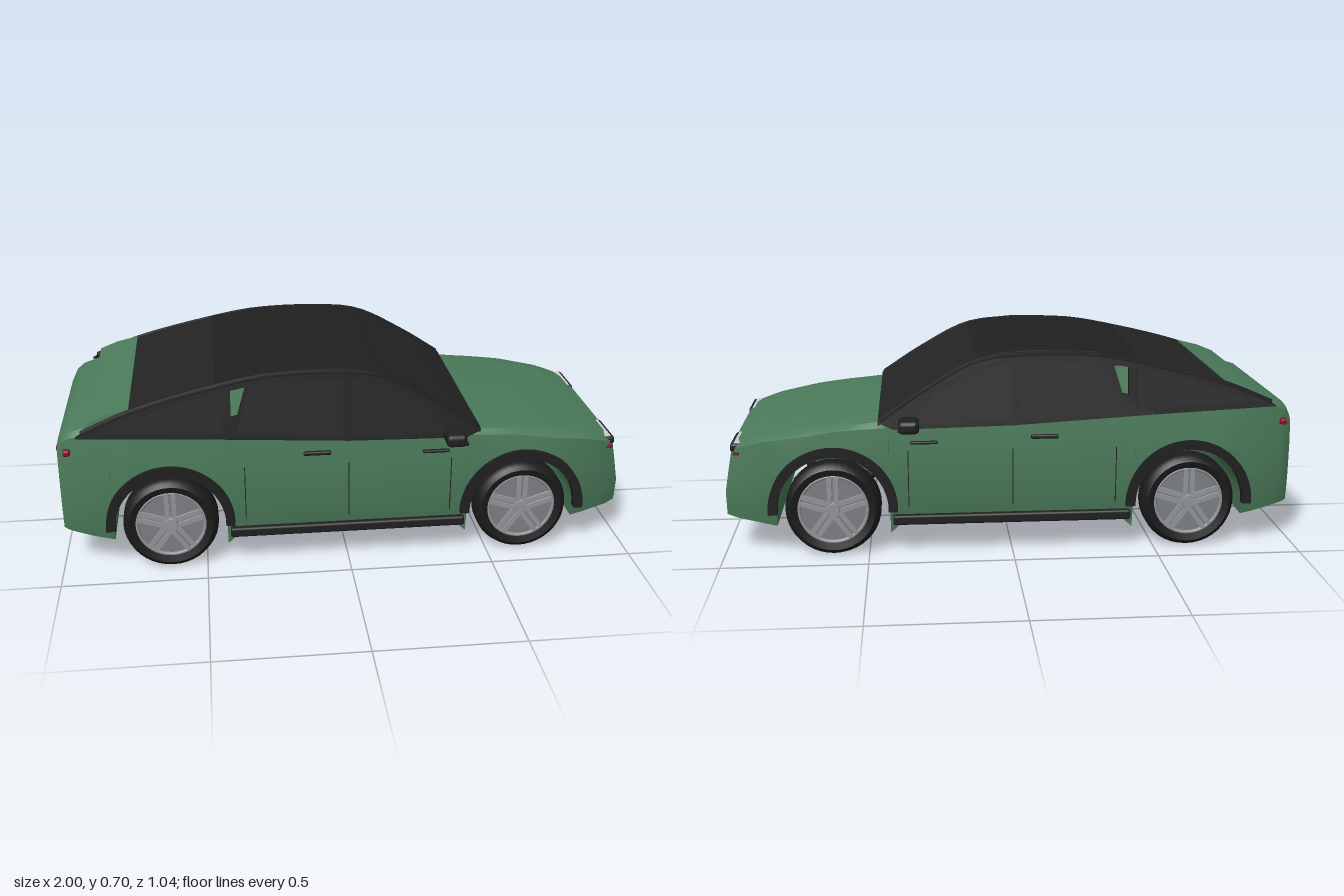
import * as THREE from 'three';
import { toCreasedNormals } from 'three/addons/utils/BufferGeometryUtils.js';
import { RoundedBoxGeometry } from 'three/addons/geometries/RoundedBoxGeometry.js';

const mat = (name, color, side = THREE.FrontSide) => {
  const m = new THREE.MeshStandardMaterial({ color, side });
  m.name = name;
  return m;
};

// Piecewise linear lookup in a list of [x, value] pairs
function at(table, x) {
  if (x <= table[0][0]) return table[0][1];
  for (let i = 1; i < table.length; i++) {
    const [x0, a] = table[i - 1], [x1, b] = table[i];
    if (x <= x1) return a + (b - a) * (x - x0) / (x1 - x0);
  }
  return table[table.length - 1][1];
}

const WHEEL_X = [-0.62, 0.62], WHEEL_Y = 0.165, ARCH = 0.195;
const WIDTH = [[-1, 0.335], [-0.97, 0.362], [-0.88, 0.388], [-0.75, 0.405], [0.72, 0.405], [0.86, 0.38], [0.95, 0.352], [0.985, 0.328]];
const TUMBLE = [[0.1, 0.95], [0.2, 1], [0.36, 1], [0.5, 0.965]];
const BOTTOM = [[-0.992, 0.14], [-0.82, 0.105], [-0.425, 0.07], [-0.385, 0.105], [0.385, 0.105], [0.425, 0.07], [0.815, 0.1], [0.985, 0.13]];
const BELT = [[-0.992, 0.435], [-0.975, 0.465], [-0.95, 0.485], [-0.9, 0.5], [-0.5, 0.485], [0, 0.458], [0.4, 0.452], [0.6, 0.442], [0.85, 0.405], [0.985, 0.372]];
const TOP = [[-0.992, 0.455], [-0.975, 0.49], [-0.95, 0.51], [-0.88, 0.53], [-0.75, 0.53], [-0.65, 0.5], [0, 0.465], [0.4, 0.462], [0.45, 0.476], [0.7, 0.446], [0.9, 0.407], [0.985, 0.386]];

// Lower body: cross-sections along x, with both wheel tunnels cut through
function bodyGeometry() {
  const stations = [-0.992, -0.975, -0.95, -0.9, -0.86].map(x => [x, at(BOTTOM, x)]);
  const arch = cx => {
    stations.push([cx - ARCH - 0.001, at(BOTTOM, cx - ARCH)]);
    for (let i = 0; i <= 20; i++) {
      const a = Math.PI * (1 - i / 20);
      stations.push([cx + ARCH * Math.cos(a), WHEEL_Y + ARCH * 0.95 * Math.sin(a)]);
    }
    stations.push([cx + ARCH + 0.001, at(BOTTOM, cx + ARCH)]);
  };
  arch(WHEEL_X[0]);
  for (const x of [-0.385, -0.2, 0, 0.2, 0.385, 0.4]) stations.push([x, at(BOTTOM, x)]);
  arch(WHEEL_X[1]);
  for (const x of [0.86, 0.9, 0.95, 0.985]) stations.push([x, at(BOTTOM, x)]);

  const pos = [], idx = [], n = 14;
  for (const [x, yb] of stations) {
    const ye = at(BELT, x), yt = at(TOP, x);
    const half = [0, 0.1, 0.35, 0.7, 1].map(t => {
      const y = yb + (ye - yb) * t;
      return [y, at(WIDTH, x) * at(TUMBLE, y)];
    });
    const w = half[4][1];
    half.push([ye + (yt - ye) * 0.7, w * 0.95], [yt, w * 0.8]);
    const ring = [...half, ...half.slice().reverse().map(([y, z]) => [y, -z])];
    const nose = Math.min(1, Math.max(0, (x - 0.86) / 0.12));
    for (const [y, z] of ring) pos.push(x + nose * (0.008 - Math.max(0, y - 0.22) * 0.19), y, z);
  }
  const quad = (a, b, c, d) => idx.push(a, b, c, a, c, d);
  for (let i = 0; i < stations.length - 1; i++)
    for (let j = 0; j < n; j++) {
      const k = (j + 1) % n;
      quad(i * n + j, (i + 1) * n + j, (i + 1) * n + k, i * n + k);
    }
  const e = (stations.length - 1) * n;
  for (let j = 0; j < n / 2 - 1; j++) {
    quad(e + j, e + n - 1 - j, e + n - 2 - j, e + j + 1);
    quad(j, j + 1, n - 2 - j, n - 1 - j);
  }
  const g = new THREE.BufferGeometry();
  g.setAttribute('position', new THREE.Float32BufferAttribute(pos, 3));
  g.setIndex(idx);
  return toCreasedNormals(g, 0.5);
}

const cabinHalf = y => 0.4 - (y - 0.46) * 0.15;
const shapeOf = pts => new THREE.Shape(pts.map(p => new THREE.Vector2(...p)));

// Side panel of the given thickness, leaning in with the cabin
function sidePanel(shape, depth, side, out = 0) {
  const g = new THREE.ExtrudeGeometry(shape, { depth, bevelEnabled: false });
  const p = g.attributes.position;
  for (let i = 0; i < p.count; i++) p.setZ(i, p.getZ(i) - depth / 2 + side * (cabinHalf(p.getY(i)) + out));
  g.computeVertexNormals();
  return g;
}

// Slab across the cabin following a side profile, front to rear
function crossSlab(profile, thick) {
  const pts = [...profile, ...profile.slice().reverse().map(([x, y]) => [x, y - thick])];
  const g = new THREE.ExtrudeGeometry(shapeOf(pts), { depth: 2, bevelEnabled: false });
  const p = g.attributes.position;
  for (let i = 0; i < p.count; i++) p.setZ(i, (p.getZ(i) - 1) * (cabinHalf(p.getY(i)) - 0.004));
  return toCreasedNormals(g, 0.3);
}

export function createModel() {
  const paint = mat('green paint', 0x4b7b5a);
  const trim = mat('black trim', 0x202020);
  const glass = mat('dark glass', 0x242424);
  const rubber = mat('tyre rubber', 0x1b1b1b);
  const rimGrey = mat('rim grey', 0x7d8085);
  const spokeGrey = mat('spoke grey', 0x93969b);
  const red = mat('red lamp', 0x8c1029);
  const white = mat('white plate', 0xcbcbd0);

  const car = new THREE.Group();
  car.name = 'car';
  const add = (name, geo, m, x = 0, y = 0, z = 0, parent = car) => {
    const mesh = new THREE.Mesh(geo, m);
    mesh.name = name;
    mesh.position.set(x, y, z);
    parent.add(mesh);
    return mesh;
  };
  const box = (name, m, w, h, d, x, y, z, r = 0) =>
    add(name, r ? new RoundedBoxGeometry(w, h, d, 2, r) : new THREE.BoxGeometry(w, h, d), m, x, y, z);

  add('body', bodyGeometry(), paint);

  // Cabin top
  const roofLine = [[0.12, 0.68], [0.05, 0.697], [-0.05, 0.705], [-0.16, 0.704], [-0.28, 0.698], [-0.45, 0.667]];
  add('windscreen', crossSlab([[0.46, 0.477], [0.3, 0.583], [0.12, 0.68]], 0.02), glass);
  add('roof', crossSlab(roofLine, 0.03), trim);
  add('rearWindow', crossSlab([[-0.45, 0.664], [-0.6, 0.63], [-0.74, 0.588]], 0.025), glass);
  add('tailgate', crossSlab([[-0.74, 0.592], [-0.82, 0.572], [-0.885, 0.545]], 0.025), paint);
  box('tailgateSeam', trim, 0.1, 0.03, 0.72, -0.825, 0.527, 0);

  const frame = shapeOf([[-0.92, 0.503], [-0.5, 0.483], [0, 0.455], [0.41, 0.448], [0.46, 0.472], [0.3, 0.578],
    [0.12, 0.672], [0, 0.695], [-0.28, 0.692], [-0.45, 0.66], [-0.6, 0.628], [-0.74, 0.585], [-0.9, 0.515]]);
  frame.holes.push(new THREE.Path([[-0.4, 0.55], [-0.378, 0.555], [-0.348, 0.655], [-0.4, 0.645]].map(p => new THREE.Vector2(...p))));
  const panes = {
    frontDoorWindow: [[0.01, 0.472], [0.35, 0.466], [0.27, 0.565], [0.12, 0.645], [0.01, 0.668]],
    rearDoorWindow: [[-0.385, 0.497], [-0.02, 0.474], [-0.02, 0.67], [-0.27, 0.668], [-0.335, 0.655]],
    quarterWindow: [[-0.83, 0.521], [-0.43, 0.503], [-0.43, 0.64], [-0.6, 0.605]],
  };
  const railLine = [[0.45, 0.475], [0.3, 0.575], [0.12, 0.67], [-0.05, 0.69], [-0.28, 0.685], [-0.45, 0.655], [-0.74, 0.58], [-0.9, 0.515]];

  for (const s of [1, -1]) {
    // Cabin sides
    add('windowFrame', sidePanel(frame, 0.02, s), trim);
    for (const [name, pts] of Object.entries(panes)) add(name, sidePanel(shapeOf(pts), 0.006, s, 0.01), glass);
    const rail = new THREE.CatmullRomCurve3(railLine.map(([x, y]) => new THREE.Vector3(x, y, s * cabinHalf(y))));
    add('roofRail', new THREE.TubeGeometry(rail, 32, 0.012, 6), trim);

    // Door fittings
    box('sill', trim, 0.83, 0.035, 0.03, 0, 0.122, s * 0.398, 0.008);
    box('rearDoorHandle', trim, 0.095, 0.014, 0.016, -0.11, 0.412, s * 0.405, 0.005);
    box('frontDoorHandle', trim, 0.095, 0.01, 0.016, 0.305, 0.399, s * 0.405, 0.004);
    for (const x of [-0.36, 0, 0.36]) box('doorSeam', trim, 0.003, 0.2, 0.004, x, 0.27, s * 0.404);

    // Mirrors
    box('mirror', trim, 0.07, 0.045, 0.09, 0.355, 0.477, s * 0.47, 0.016);
    box('mirrorStem', trim, 0.03, 0.014, 0.07, 0.35, 0.468, s * 0.42);
    box('mirrorTip', trim, 0.012, 0.008, 0.02, 0.386, 0.47, s * 0.512);

    // Lamps
    box('headlampHousing', trim, 0.045, 0.028, 0.166, 0.947, 0.374, s * 0.253, 0.008);
    box('headlamp', white, 0.026, 0.006, 0.15, 0.944, 0.387, s * 0.253);
    box('frontMarker', red, 0.02, 0.008, 0.03, 0.947, 0.357, s * 0.338);
    box('tailLamp', red, 0.024, 0.022, 0.075, -0.957, 0.438, s * 0.34, 0.007);

    for (const cx of WHEEL_X) {
      // Arch trim
      const band = new THREE.Shape();
      band.absarc(0, 0, 0.222, -0.05, Math.PI + 0.05, false);
      band.absarc(0, 0, 0.19, Math.PI + 0.05, -0.05, true);
      const bandGeo = new THREE.ExtrudeGeometry(band, { depth: 0.03, bevelEnabled: false, curveSegments: 24 });
      add('archTrim', toCreasedNormals(bandGeo, 0.5), trim, cx, WHEEL_Y, s > 0 ? 0.388 : -0.418);

      // Wheel
      const wheel = new THREE.Group();
      wheel.name = 'wheel';
      wheel.position.set(cx, 0.165, s * 0.358);
      if (s < 0) wheel.rotation.y = Math.PI;
      car.add(wheel);
      const tyre = new THREE.LatheGeometry([[0.122, -0.046], [0.145, -0.053], [0.158, -0.045], [0.165, -0.025],
        [0.165, 0.025], [0.158, 0.045], [0.145, 0.053], [0.122, 0.046], [0.122, -0.046]].map(p => new THREE.Vector2(...p)), 40);
      add('tyre', toCreasedNormals(tyre.rotateX(Math.PI / 2), 0.7), rubber, 0, 0, 0, wheel);
      add('rim', new THREE.CylinderGeometry(0.124, 0.124, 0.076, 40).rotateX(Math.PI / 2), rimGrey, 0, 0, 0, wheel);
      add('rimRing', new THREE.TorusGeometry(0.118, 0.007, 6, 40), spokeGrey, 0, 0, 0.04, wheel);
      add('hub', new THREE.CylinderGeometry(0.022, 0.026, 0.016, 20).rotateX(Math.PI / 2), spokeGrey, 0, 0, 0.045, wheel);
      for (let i = 0; i < 5; i++)
        for (const k of [-1, 1]) {
          const spoke = new THREE.BoxGeometry(0.016, 0.1, 0.012).translate(k * 0.012, 0.066, 0.042);
          add('spoke', spoke.rotateZ(i * Math.PI * 0.4), spokeGrey, 0, 0, 0, wheel);
        }
    }
  }

  // Nose
  box('upperGrille', trim, 0.025, 0.045, 0.345, 0.985, 0.212, 0, 0.008);
  box('lowerGrille', trim, 0.025, 0.046, 0.535, 0.985, 0.159, 0, 0.008);
  box('frontPlate', white, 0.009, 0.075, 0.077, 0.983, 0.28, 0).rotation.z = 0.18;

  // Tail
  box('tailLightBar', red, 0.014, 0.012, 0.62, -0.99, 0.43, 0);
  box('rearPlate', white, 0.009, 0.075, 0.077, -0.992, 0.345, 0);
  box('rearBumper', trim, 0.016, 0.05, 0.6, -0.99, 0.175, 0, 0.006);

  return car;
}
